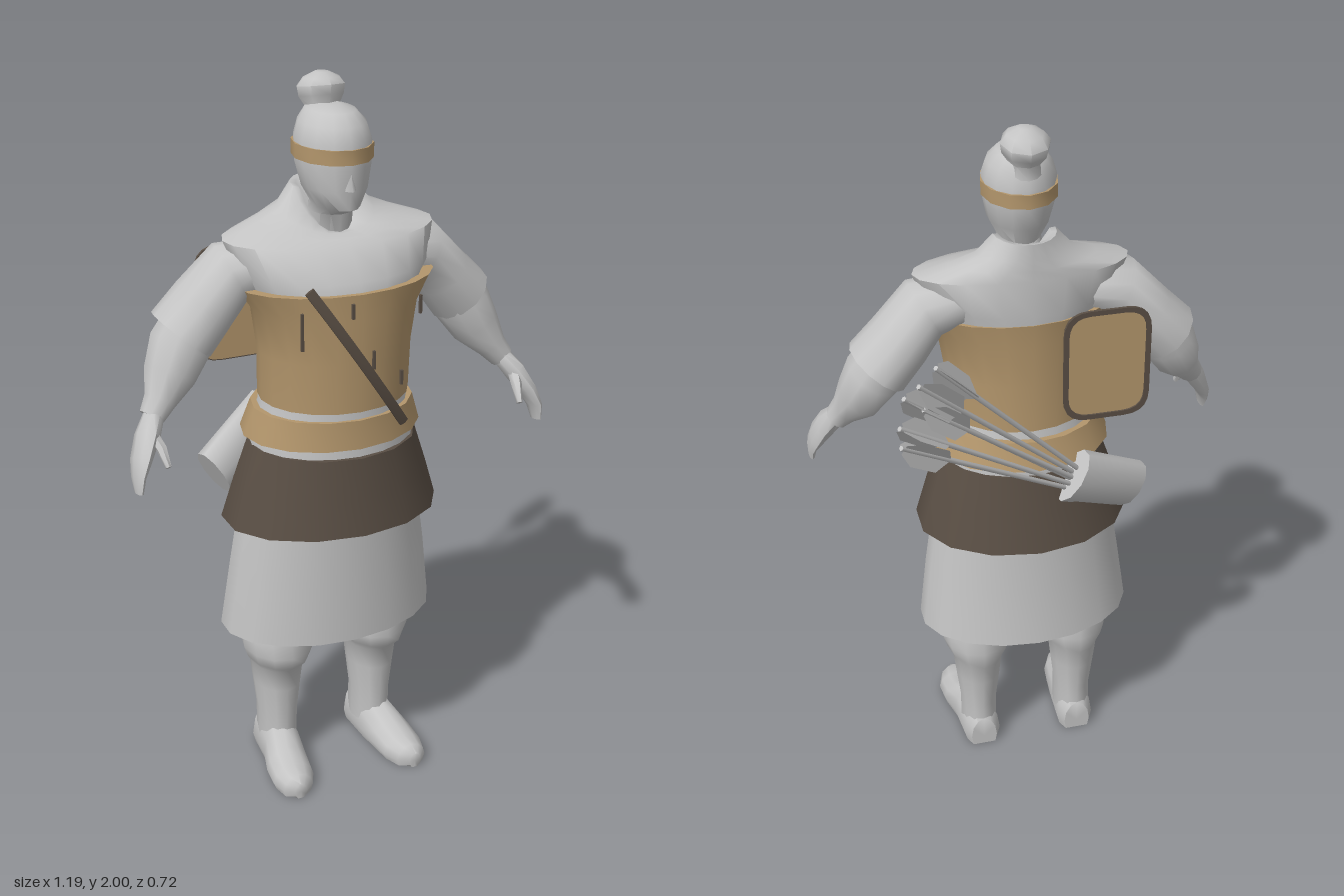
import * as THREE from 'three';
import { toCreasedNormals } from 'three/addons/utils/BufferGeometryUtils.js';

const V = (x, y, z) => new THREE.Vector3(x, y, z);
const cloth = new THREE.MeshStandardMaterial({ color: 0xc4c4c4, side: THREE.DoubleSide });
cloth.name = 'pale grey';
const tan = new THREE.MeshStandardMaterial({ color: 0xb3966c, side: THREE.DoubleSide });
tan.name = 'tan leather';
const dark = new THREE.MeshStandardMaterial({ color: 0x594e44 });
dark.name = 'dark leather';

// Closed skin through elliptical rings {c, u, v}; u x v points along the loft; dip lowers the u side
function loft(rings, sides) {
  const pos = [], idx = [], n = rings.length;
  const put = (p, drop = 0) => pos.push(p.x, Math.max(0, p.y - drop), p.z);
  for (const { c, u, v, dip = 0 } of rings) {
    for (let j = 0; j < sides; j++) {
      const a = (j / sides) * Math.PI * 2, cos = Math.cos(a);
      put(c.clone().addScaledVector(u, cos).addScaledVector(v, Math.sin(a)), dip * Math.max(0, cos));
    }
  }
  put(rings[0].c);
  put(rings[n - 1].c, rings[n - 1].dip);
  for (let j = 0; j < sides; j++) {
    const k = (j + 1) % sides, top = (n - 1) * sides;
    for (let i = 0; i < n - 1; i++) {
      const a = i * sides + j, b = i * sides + k;
      idx.push(a, b, a + sides, b, b + sides, a + sides);
    }
    idx.push(n * sides, k, j, n * sides + 1, top + j, top + k);
  }
  const g = new THREE.BufferGeometry();
  g.setAttribute('position', new THREE.Float32BufferAttribute(pos, 3));
  g.setIndex(idx);
  return toCreasedNormals(g, 0.95);
}

// Upright form, bottom to top; rows: y, rx, zCentre, rz, front tilt, front dip
const upright = (rows, sides = 16, cx = 0) => loft(rows.map(([y, rx, z, rz, tilt = 0, dip = 0]) =>
  ({ c: V(cx, y, z), u: V(0, tilt, rz), v: V(rx, 0, 0), dip })), sides);

// Form along a path; rows: x, y, z, radius in the front plane, radius in depth
const limb = (rows, sides = 10, s = 1) => loft(rows.map(([x, y, z, r, rz], i) => {
  const p = rows[Math.max(0, i - 1)], q = rows[Math.min(rows.length - 1, i + 1)];
  const t = V(s * (q[0] - p[0]), q[1] - p[1], q[2] - p[2]).normalize();
  const v = t.clone().cross(V(0, 0, 1)).normalize(), u = v.clone().cross(t);
  return { c: V(s * x, y, z), u: u.multiplyScalar(rz), v: v.multiplyScalar(r) };
}), sides);

// Depth of the armour's front at a given x
const chestZ = (x) => 0.147 + 0.186 * Math.sqrt(1 - (x / 0.26) ** 2);

function roundRect(w, h, r, path = new THREE.Shape()) {
  const x = w / 2, y = h / 2;
  path.moveTo(-x + r, -y);
  path.lineTo(x - r, -y); path.quadraticCurveTo(x, -y, x, -y + r);
  path.lineTo(x, y - r); path.quadraticCurveTo(x, y, x - r, y);
  path.lineTo(-x + r, y); path.quadraticCurveTo(-x, y, -x, y - r);
  path.lineTo(-x, -y + r); path.quadraticCurveTo(-x, -y, -x + r, -y);
  return path;
}

export function createModel() {
  const model = new THREE.Group();
  const add = (name, geo, mat, parent = model) => {
    const m = new THREE.Mesh(geo, mat);
    m.name = name;
    parent.add(m);
    return m;
  };

  // Head, topknot, nose and headband
  add('head', upright([[1.56, 0.06, 0.1, 0.07], [1.66, 0.058, 0.11, 0.075],
    [1.682, 0.058, 0.145, 0.092], [1.73, 0.083, 0.138, 0.105], [1.79, 0.096, 0.128, 0.118],
    [1.85, 0.098, 0.128, 0.118], [1.89, 0.086, 0.125, 0.105], [1.92, 0.06, 0.115, 0.085],
    [1.93, 0.025, 0.1, 0.045]], 14), cloth);
  add('topknot', upright([[1.875, 0.05, 0.065, 0.052], [1.91, 0.042, 0.06, 0.048],
    [1.94, 0.062, 0.057, 0.06, 0.012], [1.965, 0.066, 0.055, 0.066, 0.012],
    [1.985, 0.05, 0.058, 0.05, 0.005], [2.0, 0.018, 0.062, 0.02]], 8), cloth);
  const nose = add('nose', new THREE.ConeGeometry(0.015, 0.07, 4), cloth);
  nose.position.set(0, 1.77, 0.24);
  add('headband', upright([[1.802, 0.102, 0.127, 0.124], [1.84, 0.102, 0.127, 0.124]], 12), tan);

  // Robe with broad shoulders and a standing collar open at the front
  add('robe', upright([[0.98, 0.225, 0.13, 0.19], [1.06, 0.235, 0.125, 0.19], [1.15, 0.205, 0.135, 0.172],
    [1.3, 0.2, 0.14, 0.168], [1.46, 0.225, 0.143, 0.176], [1.515, 0.262, 0.134, 0.172],
    [1.605, 0.295, 0.108, 0.138, -0.01], [1.635, 0.2, 0.095, 0.125, -0.01, 0.02],
    [1.662, 0.13, 0.085, 0.115, -0.012, 0.035], [1.715, 0.084, 0.072, 0.1, -0.004, 0.1],
    [1.712, 0.07, 0.076, 0.09, -0.004, 0.1]], 20), cloth);

  // Chest armour, belt and skirts
  add('chestArmour', upright([[1.165, 0.208, 0.14, 0.18], [1.3, 0.21, 0.145, 0.18],
    [1.42, 0.228, 0.146, 0.18], [1.49, 0.275, 0.144, 0.182]], 20), tan);
  add('belt', upright([[1.06, 0.252, 0.12, 0.203], [1.14, 0.225, 0.13, 0.188]]), tan);
  add('armourSkirt', upright([[0.805, 0.31, 0.12, 0.24, 0, -0.015], [0.92, 0.275, 0.125, 0.222],
    [1.035, 0.236, 0.13, 0.2]], 14), dark);
  add('robeSkirt', upright([[0.465, 0.315, 0.1, 0.206], [0.65, 0.29, 0.11, 0.2],
    [0.84, 0.26, 0.115, 0.195]], 18), cloth);

  // Narrow strap across the chest, and small lacing ties on the armour
  const strapRows = [];
  for (let i = 0; i <= 8; i++) {
    const x = -0.14 + 0.27 * i / 8;
    strapRows.push([x, 1.51 - 0.4 * i / 8, chestZ(x), 0.015, 0.007]);
  }
  add('chestStrap', limb(strapRows, 6), dark);
  for (const [x, y, h] of [[-0.155, 1.4, 0.1], [-0.03, 1.45, 0.04], [0.03, 1.31, 0.05],
    [0.19, 1.42, 0.05], [0.12, 1.24, 0.04]]) {
    add('lacingTie', new THREE.BoxGeometry(0.007, h, 0.008), dark).position.set(x, y, chestZ(x) - 0.003);
  }

  // Arms and legs, mirrored
  for (const s of [1, -1]) {
    const side = s > 0 ? 'left' : 'right';
    add(side + 'Sleeve', limb([[0.15, 1.535, 0.1, 0.06, 0.09], [0.27, 1.515, 0.09, 0.082, 0.102],
      [0.34, 1.435, 0.08, 0.084, 0.112], [0.405, 1.36, 0.08, 0.092, 0.108]], 12, s), cloth);
    add(side + 'Forearm', limb([[0.36, 1.42, 0.085, 0.07, 0.085], [0.412, 1.335, 0.09, 0.08, 0.097],
      [0.45, 1.265, 0.11, 0.068, 0.08], [0.488, 1.21, 0.138, 0.042, 0.05],
      [0.515, 1.175, 0.15, 0.034, 0.038]], 10, s), cloth);
    add(side + 'Hand', limb([[0.505, 1.19, 0.148, 0.026, 0.03], [0.54, 1.14, 0.185, 0.03, 0.045],
      [0.567, 1.09, 0.212, 0.022, 0.05], [0.582, 1.05, 0.23, 0.014, 0.042],
      [0.585, 1.01, 0.238, 0.009, 0.026]], 8, s), cloth);
    add(side + 'Thumb', limb([[0.53, 1.15, 0.19, 0.016, 0.02], [0.518, 1.12, 0.235, 0.014, 0.016],
      [0.512, 1.08, 0.265, 0.008, 0.01]], 6, s), cloth);

    add(side + 'Leg', upright([[0.05, 0.055, 0.08, 0.08], [0.15, 0.055, 0.082, 0.08],
      [0.25, 0.067, 0.08, 0.088], [0.32, 0.075, 0.08, 0.096], [0.345, 0.09, 0.088, 0.115],
      [0.38, 0.102, 0.092, 0.118], [0.43, 0.105, 0.09, 0.112], [0.5, 0.09, 0.09, 0.1],
      [0.6, 0.09, 0.09, 0.1]], 12, s * 0.15), cloth);
    // Boot rows from heel to toe: z, x, y, rx, ry
    add(side + 'Boot', loft([[0, 0.15, 0.03, 0.04, 0.07], [0.03, 0.15, 0.03, 0.056, 0.1],
      [0.14, 0.157, 0.03, 0.058, 0.095], [0.21, 0.17, 0.025, 0.064, 0.062],
      [0.27, 0.176, 0.02, 0.062, 0.05], [0.315, 0.18, 0.02, 0.045, 0.044],
      [0.338, 0.182, 0.022, 0.018, 0.025]].map(([z, x, y, rx, ry]) =>
      ({ c: V(s * x, y, z), u: V(rx, 0, 0), v: V(0, ry, 0) })), 12), cloth);
  }

  // Small rimmed shield on the back
  const shield = new THREE.Group();
  shield.name = 'backShield';
  shield.position.set(-0.19, 1.37, -0.075);
  model.add(shield);
  const plate = { depth: 0.008, bevelEnabled: false, curveSegments: 5 };
  add('shieldFace', new THREE.ExtrudeGeometry(roundRect(0.235, 0.32, 0.065), plate), tan, shield);
  const rimShape = roundRect(0.24, 0.33, 0.07);
  rimShape.holes.push(roundRect(0.212, 0.302, 0.06, new THREE.Path()));
  const rim = add('shieldRim', new THREE.ExtrudeGeometry(rimShape, plate), dark, shield);
  rim.position.z = -0.005;

  // Flattened quiver slung low across the back
  const mouth = V(-0.1, 1.025, -0.075), foot = V(-0.3, 0.91, 0.01);
  const along = mouth.clone().sub(foot);
  const across = along.clone().normalize().cross(V(0, 0, 1)).normalize();
  const depth = across.clone().cross(along).normalize();
  add('quiver', loft([[foot, 0.075], [mouth, 0.085]].map(([c, r]) =>
    ({ c, u: depth.clone().multiplyScalar(0.045), v: across.clone().multiplyScalar(r) })), 10), cloth);

  // Arrows fanning out of the quiver, each with three vanes
  const vane = new THREE.Shape([[0, 0], [0.04, 0.05], [0.04, 0.145], [0.015, 0.185], [0, 0.175]]
    .map(([x, y]) => new THREE.Vector2(x, y)));
  const vaneGeo = new THREE.ShapeGeometry(vane);
  const tips = [[0.31, 1.545, -0.28], [0.36, 1.52, -0.315], [0.4, 1.5, -0.33],
    [0.35, 1.45, -0.31], [0.415, 1.42, -0.335], [0.415, 1.37, -0.345]];
  tips.forEach(([x, y, z], i) => {
    const start = V(-0.12 + 0.012 * (i % 3), 1.04 - 0.013 * i, -0.07 + 0.006 * (i % 2));
    const dir = V(x, y, z).sub(start), len = dir.length();
    const arrow = new THREE.Group();
    arrow.name = 'arrow' + (i + 1);
    arrow.position.copy(start);
    arrow.quaternion.setFromUnitVectors(V(0, 1, 0), dir.normalize());
    model.add(arrow);
    add('shaft', new THREE.CylinderGeometry(0.007, 0.007, len, 6), cloth, arrow).position.y = len / 2;
    for (let k = 0; k < 3; k++) {
      const f = add('vane', vaneGeo, cloth, arrow);
      f.position.y = len - 0.19;
      f.rotation.y = (k * Math.PI * 2) / 3 + i;
    }
  });

  return model;
}
